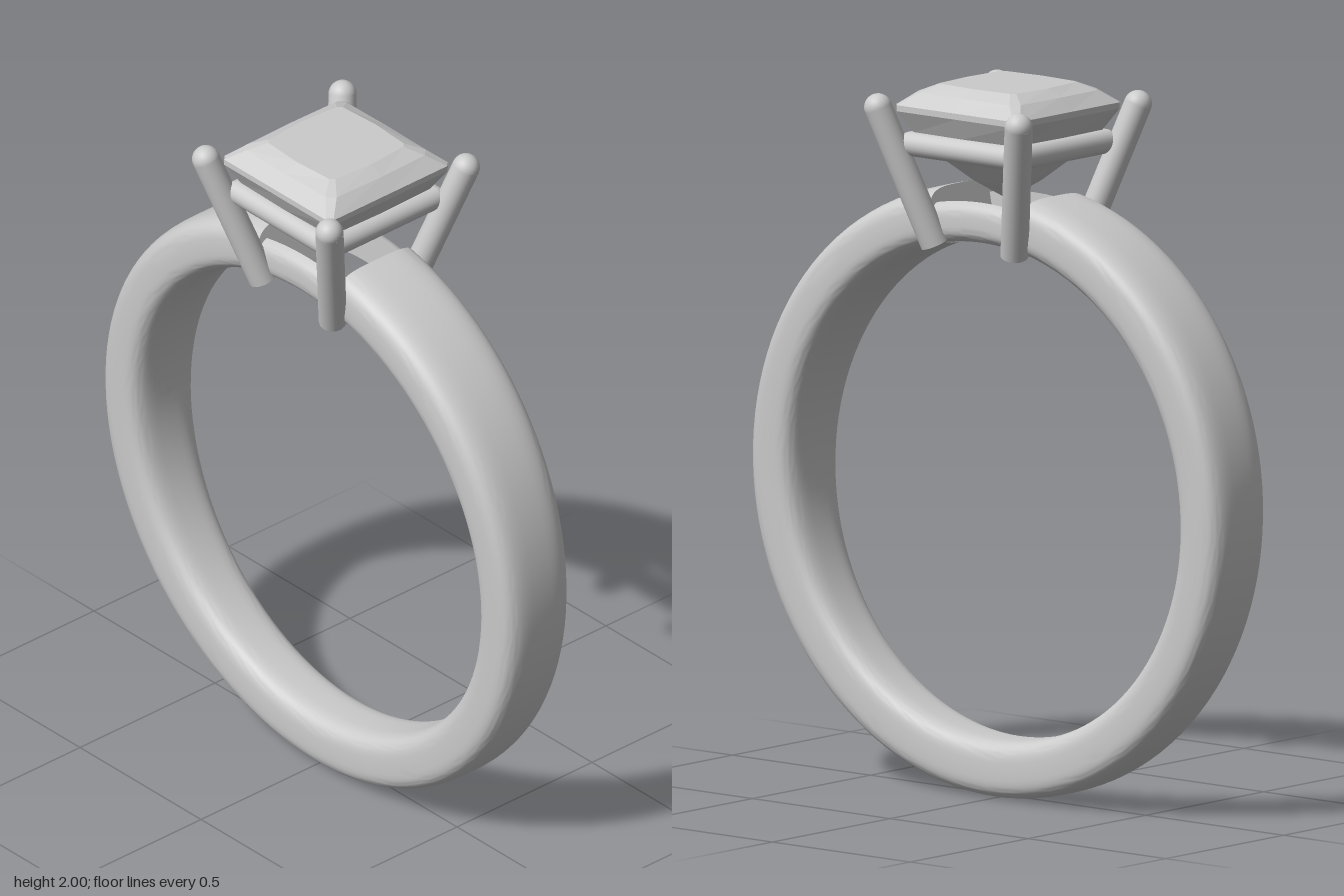
import * as THREE from 'three';
import { toCreasedNormals } from 'three/addons/utils/BufferGeometryUtils.js';

const CY = 0.862, R_IN = 0.695, R_OUT = 0.857; // band centre height and radii
const GAP = 0.2;                               // half angle of the opening under the stone

const material = new THREE.MeshStandardMaterial({ color: 0xcccccc, roughness: 0.5 });

// Skins a row of closed rings and caps both ends; rings run counter-clockwise seen against the advance.
function loft(rings, crease) {
  const pos = [];
  const tri = (...pts) => pts.forEach((p) => pos.push(p.x, p.y, p.z));
  const n = rings[0].length;
  for (let j = 0; j < rings.length - 1; j++) {
    for (let i = 0; i < n; i++) {
      const k = (i + 1) % n, a = rings[j], b = rings[j + 1];
      tri(a[i], a[k], b[k]);
      tri(a[i], b[k], b[i]);
    }
  }
  [rings[0], rings[rings.length - 1]].forEach((ring, end) => {
    const c = ring.reduce((s, p) => s.add(p), new THREE.Vector3()).divideScalar(n);
    for (let i = 0; i < n; i++) {
      const k = (i + 1) % n;
      if (end) tri(c, ring[i], ring[k]);
      else tri(c, ring[k], ring[i]);
    }
  });
  const geo = new THREE.BufferGeometry();
  geo.setAttribute('position', new THREE.Float32BufferAttribute(pos, 3));
  return toCreasedNormals(geo, crease);
}

// Soft rectangular section of the band at angle t from the top, which widens with height.
function bandRing(t, from, to, steps, rOut) {
  const n = 3.6, ring = [];
  const half = 0.117 + 0.026 * Math.cos(t), mid = (rOut + R_IN) / 2, h = (rOut - R_IN) / 2;
  const power = (v) => Math.sign(v) * Math.abs(v) ** (2 / n);
  for (let i = 0; i < steps; i++) {
    const p = from + (to - from) * i / steps;
    const r = mid + h * power(Math.cos(p));
    ring.push(new THREE.Vector3(r * Math.sin(t), CY + r * Math.cos(t), half * power(Math.sin(p))));
  }
  return ring;
}

// Square outline with clipped corners; bow pushes the middle of each side outward.
function stoneRing(half, y, clip, bow = 0) {
  const ring = [];
  for (let s = 0; s < 4; s++) {
    const a = s * Math.PI / 2;
    for (const [u, v] of [[half, clip - half], [half + bow, 0], [half, half - clip]]) {
      ring.push(new THREE.Vector3(
        u * Math.cos(a) - v * Math.sin(a), y, -(u * Math.sin(a) + v * Math.cos(a))));
    }
  }
  return ring;
}

// Round bar between two points, with ball ends where asked.
function bar(name, a, b, radius, ball) {
  const dir = b.clone().sub(a);
  const group = new THREE.Group();
  group.name = name;
  const rod = new THREE.Mesh(new THREE.CylinderGeometry(radius, radius, dir.length(), 24), material);
  rod.name = name + 'Rod';
  rod.position.copy(a).lerp(b, 0.5);
  rod.quaternion.setFromUnitVectors(new THREE.Vector3(0, 1, 0), dir.normalize());
  group.add(rod);
  if (ball) {
    const tip = new THREE.Mesh(new THREE.SphereGeometry(radius, 24, 16), material);
    tip.name = name + 'Tip';
    tip.position.copy(b);
    group.add(tip);
  }
  return group;
}

export function createModel() {
  const model = new THREE.Group();
  model.name = 'ring';
  const add = (name, geo) => {
    const mesh = new THREE.Mesh(geo, material);
    mesh.name = name;
    model.add(mesh);
  };

  // Band, open at the top beneath the stone
  const rings = [];
  for (let i = 0; i <= 112; i++) {
    const t = GAP + (2 * Math.PI - 2 * GAP) * i / 112;
    rings.push(bandRing(t, 0, 2 * Math.PI, 56, R_OUT));
  }
  add('band', loft(rings, 0.7));

  // Thin walls bridging the opening at front and back
  for (const side of [1, -1]) {
    const wall = [];
    const p0 = Math.asin((0.112 / 0.143) ** 1.8);
    const from = side > 0 ? p0 : p0 + Math.PI;
    const span = Math.PI - 2 * p0;
    for (let i = 0; i <= 16; i++) {
      const t = (GAP + 0.01) * (i / 8 - 1);
      wall.push(bandRing(t, from, from + span * 18 / 17, 18, 0.825));
    }
    add(side > 0 ? 'frontWall' : 'backWall', loft(wall, 0.7));
  }

  // Four flared prongs
  for (const x of [1, -1]) {
    for (const z of [1, -1]) {
      const name = (z > 0 ? 'front' : 'back') + (x > 0 ? 'Left' : 'Right') + 'Prong';
      model.add(bar(name, new THREE.Vector3(0.145 * x, 1.55, 0.142 * z),
        new THREE.Vector3(0.255 * x, 1.935, 0.253 * z), 0.039, true));
    }
  }

  // Square rail holding the stone
  const rail = new THREE.Group();
  rail.name = 'galleryRail';
  const q = 0.19, y = 1.832;
  const corners = [[q, q], [-q, q], [-q, -q], [q, -q]].map(([x, z]) => new THREE.Vector3(x, y, z));
  corners.forEach((c, i) => rail.add(bar('railSide' + (i + 1), c, corners[(i + 1) % 4], 0.034, true)));
  model.add(rail);

  // Square faceted stone, from its point up to the flat top
  add('stone', loft([
    stoneRing(0.002, 1.675, 0.0005),
    stoneRing(0.07, 1.728, 0.006, 0.008),
    stoneRing(0.142, 1.8, 0.01, 0.008),
    stoneRing(0.19, 1.865, 0.012, 0.004),
    stoneRing(0.225, 1.925, 0.014),
    stoneRing(0.225, 1.942, 0.014),
    stoneRing(0.185, 1.978, 0.022, 0.003),
    stoneRing(0.138, 2.0, 0.012, 0.008),
  ], 0.01));

  return model;
}
